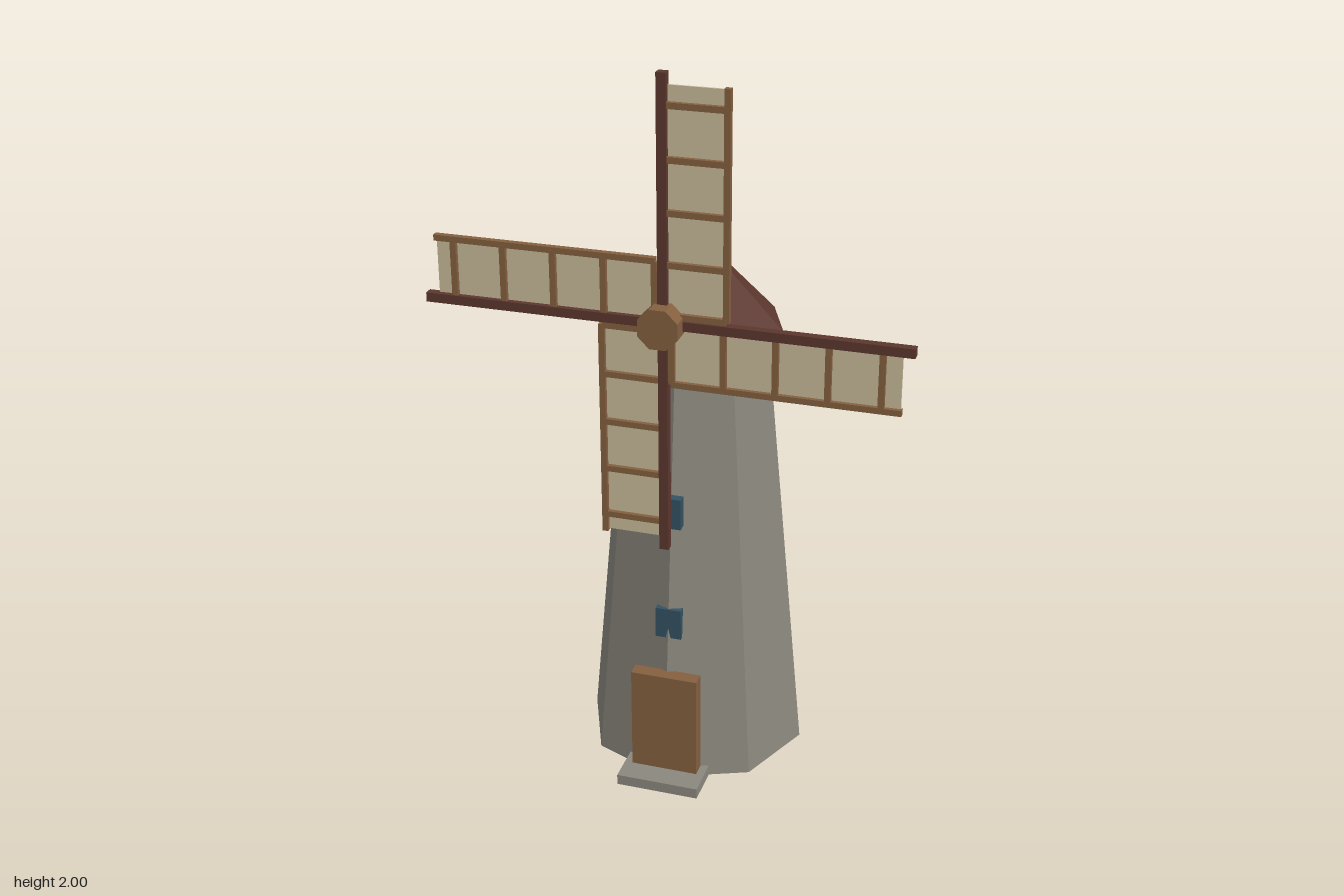
import * as THREE from 'three';

const mat = (name, color) => {
  const m = new THREE.MeshStandardMaterial({ color });
  m.name = name;
  return m;
};

export function createModel() {
  const stone = mat('grey stone', 0x8b887e);
  const roofRed = mat('dark red wood', 0x5c372f);
  const wood = mat('brown wood', 0x856040);
  const cloth = mat('sail cloth', 0xcabc9b);
  const glass = mat('blue window', 0x355263);

  const model = new THREE.Group();
  model.name = 'windmill';
  const CZ = -0.035; // tower axis
  const HUB_Y = 1.36, SAIL_Z = 0.252;

  const add = (parent, name, geometry, material, x, y, z) => {
    const mesh = new THREE.Mesh(geometry, material);
    mesh.name = name;
    mesh.position.set(x, y, z);
    parent.add(mesh);
    return mesh;
  };
  const box = (parent, name, material, w, h, d, x, y, z) =>
    add(parent, name, new THREE.BoxGeometry(w, h, d), material, x, y, z);
  // eight-sided solid with hard facets
  const octagon = (rTop, rBottom, h) => {
    const g = new THREE.CylinderGeometry(rTop, rBottom, h, 8).toNonIndexed();
    g.computeVertexNormals();
    return g;
  };

  // tower and cap
  add(model, 'tower', octagon(0.197, 0.31, 1.22), stone, 0, 0.61, CZ);
  add(model, 'roofBand', octagon(0.213, 0.213, 0.035), roofRed, 0, 1.2325, CZ);
  const cone = new THREE.ConeGeometry(0.237, 0.25, 8).toNonIndexed();
  cone.computeVertexNormals();
  add(model, 'roof', cone, roofRed, 0, 1.375, CZ);

  // slanted pole at the back of the cap
  const pole = box(model, 'tailPole', roofRed, 0.025, 0.267, 0.025, 0, 1.28, -0.236);
  pole.rotation.x = 0.42;

  // door, step and windows
  box(model, 'door', wood, 0.186, 0.31, 0.04, 0, 0.173, 0.256);
  box(model, 'doorStep', stone, 0.23, 0.03, 0.115, 0, 0.015, 0.286);
  for (const y of [0.473, 0.81])
    box(model, 'window', glass, 0.072, 0.088, 0.026, 0, y, 0.2195);

  // hub
  const hub = add(model, 'hub', octagon(0.057, 0.057, 0.105), wood, 0, HUB_Y, 0.2525);
  hub.rotation.set(Math.PI / 2, Math.PI / 8, 0);

  // four sails, each built pointing up and then turned
  for (let i = 0; i < 4; i++) {
    const sail = new THREE.Group();
    sail.name = 'sail';
    sail.position.set(0, HUB_Y, SAIL_Z);
    sail.rotation.z = -i * Math.PI / 2;
    model.add(sail);
    box(sail, 'spar', roofRed, 0.025, 0.64, 0.024, 0, 0.32, 0);
    box(sail, 'sailCloth', cloth, 0.155, 0.585, 0.006, 0.084, 0.3155, -0.006);
    box(sail, 'outerRail', wood, 0.016, 0.592, 0.017, 0.164, 0.316, 0);
    for (let k = 0; k < 5; k++)
      box(sail, 'rung', wood, 0.155, 0.016, 0.014, 0.085, 0.022 + k * 0.1345, 0.002);
  }
  return model;
}
